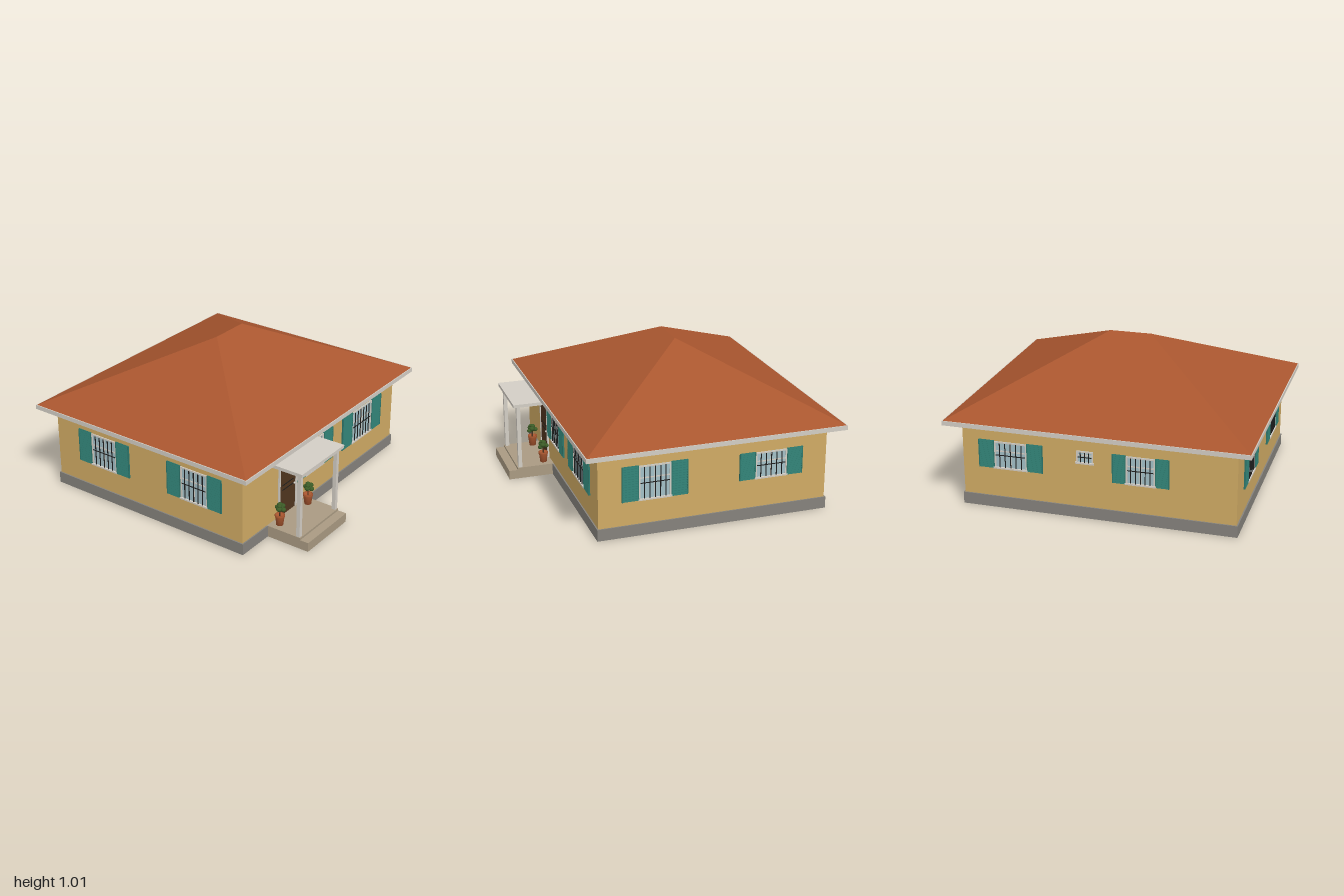
import * as THREE from 'three';

const mat = (name, color) => Object.assign(new THREE.MeshStandardMaterial({ color }), { name });
const M = {
  wall: mat('ochre plaster', 0xd0ab64),
  roof: mat('terracotta', 0xa9562f),
  trim: mat('off-white trim', 0xd3cec5),
  plinth: mat('grey plinth', 0x85827c),
  step: mat('sandstone', 0xa99a82),
  shutter: mat('teal paint', 0x2d786d),
  glass: mat('window glass', 0xa3c0c7),
  wood: mat('dark wood', 0x50351f),
  leaf: mat('leaf green', 0x3c5c27),
  iron: mat('black iron', 0x1d1d1d),
};

// Footprint of the walls
const HX = 0.902, HZ = 0.768, CZ = -0.108, FRONT = CZ + HZ;

function add(parent, name, geometry, material, x = 0, y = 0, z = 0) {
  const mesh = new THREE.Mesh(geometry, material);
  mesh.name = name;
  mesh.position.set(x, y, z);
  parent.add(mesh);
  return mesh;
}

// Box given by its two extreme corners
function span(parent, name, material, [x0, y0, z0], [x1, y1, z1]) {
  return add(parent, name, new THREE.BoxGeometry(x1 - x0, y1 - y0, z1 - z0), material,
    (x0 + x1) / 2, (y0 + y1) / 2, (z0 + z1) / 2);
}

// Hipped roof: four eave corners and two ridge ends
function hipRoof(hx, hz, ridge, y0, y1) {
  const a = [-hx, y0, hz], b = [hx, y0, hz], c = [hx, y0, -hz], d = [-hx, y0, -hz];
  const l = [-ridge, y1, 0], r = [ridge, y1, 0];
  const tris = [a, b, r, a, r, l, b, c, r, c, d, l, c, l, r, d, a, l];
  const g = new THREE.BufferGeometry();
  g.setAttribute('position', new THREE.Float32BufferAttribute(tris.flat(), 3));
  g.computeVertexNormals();
  return g;
}

// Framed pane with iron grille and sill, facing +z from a wall at z = 0
function pane(g, hw, y0, y1, bars) {
  const f = 0.01, h = y1 - y0;
  span(g, 'glass', M.glass, [-hw, y0, -0.004], [hw, y1, 0.002]);
  for (const s of [-1, 1]) {
    const x = s * (hw - f / 2);
    span(g, 'frameSide', M.trim, [x - f / 2, y0, 0], [x + f / 2, y1, 0.007]);
  }
  span(g, 'frameTop', M.trim, [-hw, y1 - f, 0], [hw, y1, 0.007]);
  span(g, 'sill', M.trim, [-hw - 0.006, y0 - 0.003, 0], [hw + 0.006, y0 + 0.008, 0.014]);
  span(g, 'mullion', M.trim, [-0.005, y0, 0], [0.005, y1, 0.004]);
  span(g, 'transom', M.trim, [-hw, y0 + h * 0.62, 0], [hw, y0 + h * 0.62 + 0.008, 0.004]);
  for (let i = 1; i <= bars; i++) {
    const x = -hw + (2 * hw * i) / (bars + 1);
    span(g, 'grilleBar', M.iron, [x - 0.0025, y0 + 0.008, 0.005], [x + 0.0025, y1 - f, 0.01]);
  }
  span(g, 'grilleRail', M.iron, [-hw + f, y0 + h * 0.48, 0.005], [hw - f, y0 + h * 0.48 + 0.005, 0.009]);
}

// Louvred shutter: backing board, rim and tilted slats
function shutter(g, x0, x1, y0, y1) {
  span(g, 'shutterBoard', M.shutter, [x0, y0, 0], [x1, y1, 0.006]);
  const n = 14, pitch = (y1 - y0) / n;
  for (let i = 0; i < n; i++) {
    const slat = add(g, 'shutterSlat', new THREE.BoxGeometry(x1 - x0 - 0.012, pitch * 0.85, 0.003),
      M.shutter, (x0 + x1) / 2, y0 + (i + 0.5) * pitch, 0.007);
    slat.rotation.x = -0.4;
  }
  for (const x of [x0, x1 - 0.007])
    span(g, 'shutterStile', M.shutter, [x, y0, 0], [x + 0.007, y1, 0.01]);
}

const SIDES = {
  front: (u) => [u, FRONT, 0],
  back: (u) => [u, CZ - HZ, Math.PI],
  left: (u) => [HX, u, Math.PI / 2],
  right: (u) => [-HX, u, -Math.PI / 2],
};

function windowOn(root, side, u, hw, total, y0, y1, bars) {
  const g = new THREE.Group();
  const [x, z, turn] = SIDES[side](u);
  g.name = side + 'Window';
  g.position.set(x, 0, z);
  g.rotation.y = turn;
  pane(g, hw, y0 + 0.003, y1 - 0.004, bars);
  if (total > hw) {
    shutter(g, -total, -hw, y0, y1);
    shutter(g, hw, total, y0, y1);
  }
  root.add(g);
}

// Terracotta pot with a clump of leaves
function pottedPlant(root, x, z) {
  const g = new THREE.Group();
  g.name = 'pottedPlant';
  g.position.set(x, 0.078, z);
  const profile = [[0, 0], [0.023, 0], [0.03, 0.058], [0.033, 0.06], [0.033, 0.073], [0.027, 0.073], [0.026, 0.064], [0, 0.064]];
  add(g, 'pot', new THREE.LatheGeometry(profile.map((p) => new THREE.Vector2(...p)), 14), M.roof);
  add(g, 'stem', new THREE.CylinderGeometry(0.004, 0.005, 0.05, 6), M.wood, 0, 0.085, 0);
  const blobs = [[0, 0.122, 0, 0.024], [0.022, 0.13, 0.006, 0.018], [-0.022, 0.124, 0.008, 0.019],
    [0.004, 0.143, -0.004, 0.018], [0.006, 0.118, -0.022, 0.018], [0.008, 0.112, 0.021, 0.018], [-0.014, 0.141, 0.006, 0.016]];
  for (const [bx, by, bz, r] of blobs) {
    const leaf = add(g, 'leaves', new THREE.IcosahedronGeometry(r, 1), M.leaf, bx, by, bz);
    leaf.scale.y = 0.8;
  }
  root.add(g);
}

export function createModel() {
  const root = new THREE.Group();
  root.name = 'house';

  // Shell
  span(root, 'plinth', M.plinth, [-HX - 0.009, 0, CZ - HZ - 0.009], [HX + 0.009, 0.078, FRONT + 0.009]);
  span(root, 'walls', M.wall, [-HX, 0.07, CZ - HZ], [HX, 0.58, FRONT]);
  span(root, 'eaves', M.trim, [-1, 0.57, CZ - 0.865], [1, 0.6, CZ + 0.865]);
  add(root, 'roof', hipRoof(0.994, 0.859, 0.14, 0.6, 1.014), M.roof, 0, 0, CZ);

  // Windows: side, position, half pane, half total, bottom, top, bars
  windowOn(root, 'front', -0.107, 0.105, 0.217, 0.242, 0.476, 5);
  windowOn(root, 'front', 0.484, 0.125, 0.25, 0.236, 0.476, 6);
  windowOn(root, 'left', 0.29, 0.106, 0.217, 0.238, 0.474, 5);
  windowOn(root, 'left', -0.491, 0.108, 0.217, 0.274, 0.459, 5);
  windowOn(root, 'right', 0.285, 0.106, 0.217, 0.238, 0.474, 5);
  windowOn(root, 'right', -0.465, 0.106, 0.217, 0.238, 0.474, 5);
  windowOn(root, 'back', 0.575, 0.11, 0.217, 0.274, 0.465, 5);
  windowOn(root, 'back', -0.287, 0.095, 0.185, 0.27, 0.465, 5);
  windowOn(root, 'back', 0.077, 0.055, 0, 0.375, 0.465, 3);

  // Front door
  const door = new THREE.Group();
  door.name = 'door';
  door.position.z = FRONT;
  span(door, 'doorLeaf', M.wood, [-0.507, 0.075, 0], [-0.333, 0.466, 0.006]);
  span(door, 'doorJamb', M.trim, [-0.519, 0.075, 0], [-0.507, 0.478, 0.012]);
  span(door, 'doorJamb', M.trim, [-0.333, 0.075, 0], [-0.318, 0.478, 0.012]);
  span(door, 'doorLintel', M.trim, [-0.519, 0.466, 0], [-0.318, 0.478, 0.012]);
  for (const y of [0.258, 0.292])
    span(door, 'doorGroove', M.iron, [-0.48, y, 0.005], [-0.357, y + 0.006, 0.008]);
  add(door, 'doorKnob', new THREE.SphereGeometry(0.007, 10, 8), M.trim, -0.35, 0.26, 0.012);
  root.add(door);

  // Porch
  span(root, 'porchLanding', M.step, [-0.64, 0, 0.65], [-0.195, 0.078, 0.915]);
  span(root, 'porchStep', M.step, [-0.64, 0, 0.915], [-0.195, 0.063, 0.975]);
  span(root, 'porchRoof', M.trim, [-0.66, 0.524, 0.655], [-0.18, 0.546, 0.932]);
  for (const x of [-0.624, -0.212])
    span(root, 'porchPost', M.trim, [x - 0.013, 0.078, 0.882], [x + 0.013, 0.526, 0.908]);
  for (const x of [-0.58, -0.257]) pottedPlant(root, x, 0.718);

  return root;
}
